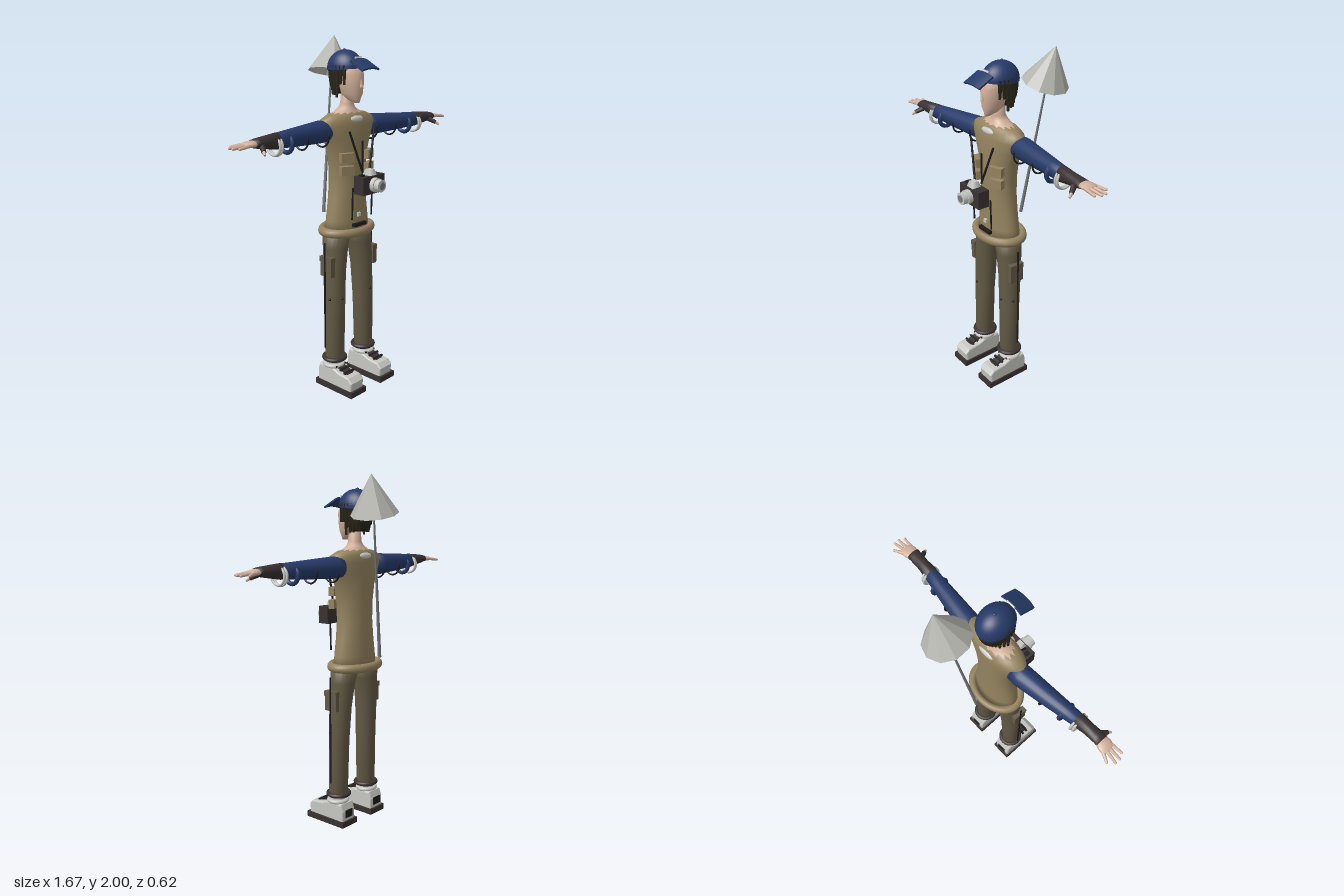
import * as THREE from 'three';

const mat = (name, color) => {
  const m = new THREE.MeshStandardMaterial({ color });
  m.name = name;
  return m;
};

export function createModel() {
  const M = {
    shirt: mat('khaki shirt', 0x94835f), trousers: mat('dark khaki', 0x635a45),
    navy: mat('navy', 0x263a68), skin: mat('skin', 0xd2b09a),
    pale: mat('pale grey', 0xc6c7c2), black: mat('black', 0x1d1b1d),
    brown: mat('dark brown', 0x3a3131), hair: mat('hair', 0x2a2517),
    canopy: mat('canopy grey', 0xb4b5ae), metal: mat('metal grey', 0x77797a),
  };
  M.canopy.side = THREE.DoubleSide;
  const root = new THREE.Group();
  root.name = 'figure';

  const add = (name, geo, material, pos = [0, 0, 0], rot = [0, 0, 0], scale = [1, 1, 1], parent = root) => {
    const m = new THREE.Mesh(geo, material);
    m.name = name;
    m.position.set(...pos);
    m.rotation.set(...rot);
    m.scale.set(...scale);
    parent.add(m);
    return m;
  };
  const box = (name, size, material, pos, rot) => add(name, new THREE.BoxGeometry(...size), material, pos, rot);
  const ball = (name, size, material, pos, rot) => add(name, new THREE.SphereGeometry(1, 16, 10), material, pos, rot, size);
  const UP = new THREE.Vector3(0, 1, 0);
  // Round bar between two points
  const rod = (name, a, b, r0, r1, material, sides = 8) => {
    const A = new THREE.Vector3(...a), B = new THREE.Vector3(...b), d = B.clone().sub(A);
    const m = add(name, new THREE.CylinderGeometry(r1, r0, d.length(), sides), material);
    m.position.copy(A).add(B).multiplyScalar(0.5);
    m.quaternion.setFromUnitVectors(UP, d.normalize());
    return m;
  };
  // Skin over elliptical sections [t, radiusA, radiusB, centreA, centreB]; side = 0 runs up y, +1 / -1 runs out along x
  const loft = (secs, n = 24, side = 0, jagged = false) => {
    const pos = [], idx = [];
    const put = ([t, a, b, ca, cb], c, s) => side
      ? pos.push(side * t, ca + a * c, cb - side * b * s)
      : pos.push(ca + a * c, t, cb + b * s);
    secs.forEach((sec, i) => {
      for (let j = 0; j < n; j++) {
        const q = j / n * Math.PI * 2;
        const cut = jagged && i === secs.length - 1 && j % 2;
        put(cut ? sec.map((v, k) => v * 0.35 + secs[i - 1][k] * 0.65) : sec, Math.cos(q), Math.sin(q));
        if (i) {
          const k = (j + 1) % n, p = (i - 1) * n, u = i * n;
          idx.push(p + j, u + j, p + k, u + j, u + k, p + k);
        }
      }
    });
    const last = (secs.length - 1) * n;
    put(secs[0], 0, 0);
    if (!jagged) put(secs[secs.length - 1], 0, 0);
    for (let j = 0; j < n; j++) {
      const k = (j + 1) % n;
      idx.push(last + n, j, k);
      if (!jagged) idx.push(last + n + 1, last + k, last + j);
    }
    const g = new THREE.BufferGeometry();
    g.setAttribute('position', new THREE.Float32BufferAttribute(pos, 3));
    g.setIndex(idx);
    g.computeVertexNormals();
    return g;
  };

  // Shirt with a ragged neckline over the bare neck and shoulders
  add('shirt', loft([
    [0.92, 0.155, 0.092, 0, 0.05], [1.0, 0.148, 0.088, 0, 0.05], [1.1, 0.13, 0.087, 0, 0.05],
    [1.2, 0.118, 0.087, 0, 0.05], [1.3, 0.121, 0.088, 0, 0.051], [1.4, 0.14, 0.089, 0, 0.051],
    [1.47, 0.17, 0.088, 0, 0.05], [1.53, 0.198, 0.086, 0, 0.048], [1.568, 0.192, 0.08, 0, 0.046],
    [1.59, 0.14, 0.068, 0, 0.045], [1.602, 0.09, 0.056, 0, 0.045]], 28, 0, true), M.shirt);
  add('neck', loft([
    [1.52, 0.18, 0.075, 0, 0.047], [1.564, 0.184, 0.076, 0, 0.046], [1.586, 0.138, 0.066, 0, 0.045],
    [1.6, 0.092, 0.056, 0, 0.045], [1.622, 0.052, 0.046, 0, 0.046], [1.645, 0.036, 0.038, 0, 0.048],
    [1.72, 0.034, 0.036, 0, 0.05]], 28), M.skin);
  add('hem', new THREE.TorusGeometry(1, 0.16, 12, 40).rotateX(Math.PI / 2), M.shirt,
    [0, 0.938, 0.048], [0, 0, 0], [0.16, 0.16, 0.119]);
  ball('frontCollar', [0.052, 0.018, 0.014], M.pale, [0, 1.566, 0.12], [-0.4, 0, 0]);
  ball('backCollar', [0.052, 0.018, 0.014], M.pale, [0, 1.566, -0.027], [0.4, 0, 0]);

  // Head, hair and cap
  add('head', loft([
    [1.652, 0.012, 0.018, 0, 0.12], [1.67, 0.03, 0.045, 0, 0.095], [1.7, 0.05, 0.07, 0, 0.08],
    [1.75, 0.063, 0.085, 0, 0.069], [1.8, 0.068, 0.09, 0, 0.064], [1.86, 0.066, 0.085, 0, 0.05]], 20), M.skin);
  rod('nose', [0, 1.735, 0.154], [0, 1.79, 0.147], 0.011, 0.005, M.skin);
  add('hairShell', loft([
    [1.7, 0.05, 0.045, 0, 0.02], [1.74, 0.068, 0.068, 0, 0.012],
    [1.79, 0.076, 0.085, 0, 0.02], [1.85, 0.076, 0.09, 0, 0.025]], 20), M.hair);
  for (let i = 0; i < 19; i++) {
    const q = -0.55 + i / 18 * (Math.PI + 1.1), c = Math.cos(q), s = Math.sin(q);
    const low = s < -0.1 ? 1.75 : 1.68 + 0.035 * Math.max(0, s) + 0.008 * (i % 2);
    const pinch = 1 - 0.3 * Math.max(0, s);
    rod('hairStrand', [0.077 * c * pinch, low, 0.038 - 0.1 * s * pinch], [0.074 * c, 1.85, 0.038 - 0.092 * s],
      0.007, 0.016, M.hair, 5);
  }
  add('capDome', new THREE.SphereGeometry(1, 28, 12, 0, Math.PI * 2, 0, Math.PI / 2), M.navy,
    [0, 1.832, 0.035], [-0.08, 0, 0], [0.088, 0.099, 0.107]);
  add('capBand', new THREE.CylinderGeometry(1, 1, 0.016, 28), M.navy,
    [0, 1.834, 0.035], [-0.08, 0, 0], [0.088, 1, 0.107]);
  ball('capButton', [0.009, 0.006, 0.009], M.navy, [0, 1.93, 0.027]);
  const brim = new THREE.BoxGeometry(0.134, 0.01, 0.1, 12, 1, 1);
  const bp = brim.attributes.position;
  for (let i = 0; i < bp.count; i++) bp.setY(i, bp.getY(i) - 2.5 * bp.getX(i) ** 2);
  brim.computeVertexNormals();
  add('capBrim', brim, M.navy, [0, 1.862, 0.18], [0.48, 0, 0]);
  box('capPatch', [0.05, 0.014, 0.008], M.pale, [0, 1.889, 0.13], [-0.5, 0, 0]);

  for (const s of [1, -1]) {
    // Arm, glove and hand
    add('sleeve', loft([
      [0.15, 0.058, 0.058, 1.508, 0.035], [0.2, 0.061, 0.061, 1.508, 0.037], [0.35, 0.053, 0.052, 1.507, 0.055],
      [0.48, 0.045, 0.043, 1.507, 0.071], [0.56, 0.04, 0.037, 1.507, 0.08]], 20, s), M.navy);
    add('glove', loft([
      [0.545, 0.043, 0.04, 1.507, 0.08], [0.62, 0.034, 0.034, 1.51, 0.085],
      [0.68, 0.026, 0.036, 1.512, 0.088], [0.705, 0.021, 0.037, 1.513, 0.088]], 16, s), M.brown);
    add('palm', loft([
      [0.69, 0.018, 0.033, 1.513, 0.087], [0.73, 0.016, 0.041, 1.512, 0.083],
      [0.76, 0.011, 0.036, 1.51, 0.08]], 14, s), M.skin);
    [[0.795, 0.03], [0.825, 0.06], [0.826, 0.088], [0.81, 0.118]].forEach(([x, z], i) => {
      rod('finger', [s * 0.745, 1.51, 0.053 + i * 0.019], [s * x, 1.503, z], 0.01, 0.007, M.skin);
      ball('fingertip', [0.007, 0.007, 0.007], M.skin, [s * x, 1.503, z]);
    });
    rod('gloveThumb', [s * 0.66, 1.505, 0.1], [s * 0.69, 1.478, 0.15], 0.017, 0.012, M.brown);
    rod('thumb', [s * 0.688, 1.48, 0.146], [s * 0.7, 1.465, 0.168], 0.01, 0.006, M.skin);
    // Loose rings hanging on the sleeve
    [[0.197, 0.056, 0.005, M.black, 0.045], [0.355, 0.051, 0.005, M.black, 0.055], [0.475, 0.046, 0.012, M.navy, 0.071],
      [0.55, 0.05, 0.007, M.pale, 0.077], [0.565, 0.048, 0.007, M.pale, 0.079]].forEach(([x, r, t, m, z]) =>
      add('armRing', new THREE.TorusGeometry(r, t, 8, 28).rotateY(Math.PI / 2), m, [s * x, 1.484, z]));

    // Trouser leg with pocket, side rod and cuffs
    add('trouserLeg', loft([
      [0.17, 0.055, 0.056, s * 0.125, 0.072], [0.5, 0.062, 0.058, s * 0.12, 0.068],
      [0.7, 0.064, 0.065, s * 0.114, 0.061], [0.85, 0.071, 0.073, s * 0.1, 0.055],
      [0.94, 0.085, 0.078, s * 0.084, 0.052]], 24), M.trousers);
    box('thighPocket', [0.03, 0.115, 0.085], M.trousers, [s * 0.178, 0.75, 0.068]);
    box('pocketFlap', [0.036, 0.03, 0.09], M.trousers, [s * 0.178, 0.792, 0.068]);
    rod('sideRod', [s * 0.198, 0.26, 0.065], [s * 0.196, 0.89, 0.065], 0.005, 0.005, M.black, 6);
    ball('kneeStud', [0.008, 0.008, 0.008], M.black, [s * 0.178, 0.555, 0.085]);
    ball('kneeStud', [0.008, 0.008, 0.008], M.black, [s * 0.12, 0.555, 0.126]);
    add('cuff', new THREE.TorusGeometry(0.061, 0.013, 10, 28).rotateX(Math.PI / 2), M.brown, [s * 0.124, 0.18, 0.07]);
    add('sock', new THREE.CylinderGeometry(0.05, 0.05, 0.08, 20), M.pale, [s * 0.126, 0.145, 0.07]);
    add('ankleRing', new THREE.TorusGeometry(0.053, 0.013, 10, 28).rotateX(Math.PI / 2), M.pale, [s * 0.13, 0.142, 0.07]);

    // Shoe: side profile extruded across the foot
    const shoe = new THREE.Shape([[0, 0.035], [0.24, 0.035], [0.245, 0.08], [0.225, 0.1], [0.15, 0.108],
      [0.11, 0.125], [0.01, 0.125], [-0.002, 0.09]].map(p => new THREE.Vector2(...p)));
    const upper = new THREE.ExtrudeGeometry(shoe, { depth: 0.085, bevelSize: 0.01, bevelThickness: 0.012, bevelSegments: 3 });
    add('shoe', upper.rotateY(-Math.PI / 2).translate(0.0425, 0, 0), M.pale, [s * 0.128, 0, 0]);
    box('sole', [0.126, 0.034, 0.284], M.brown, [s * 0.128, 0.017, 0.122]);
    box('heelPatch', [0.06, 0.045, 0.009], M.black, [s * 0.128, 0.075, -0.011]);
    box('tongue', [0.05, 0.012, 0.1], M.brown, [s * 0.128, 0.129, 0.15], [0.3, 0, 0]);
    for (let i = 0; i < 3; i++)
      box('lace', [0.08, 0.008, 0.012], M.black, [s * 0.128, 0.144 - i * 0.011, 0.122 + i * 0.033], [0.3, 0, 0]);

    // Chest pouches and straps
    for (const y of [1.365, 1.293])
      box('chestPouch', [0.078, 0.05, 0.034], M.shirt, [s * 0.088, y, 0.13], [0, s * 0.35, 0]);
    rod('cameraStrap', [s * 0.1, 1.51, 0.16], [s * 0.03, 1.29, 0.19], 0.006, 0.006, M.black);
    rod('frontCord', [s * 0.08, 1.02, 0.163], [s * 0.08, 1.2, 0.168], 0.005, 0.005, M.black);
  }

  // Front fastening
  rod('centreCord', [0, 1.27, 0.165], [0, 1.45, 0.165], 0.005, 0.005, M.black);
  box('belt', [0.1, 0.018, 0.02], M.black, [0, 0.977, 0.146]);
  box('frontButton', [0.022, 0.022, 0.012], M.pale, [0, 1.033, 0.143]);

  // Camera at the waist
  box('cameraBody', [0.172, 0.1, 0.07], M.brown, [0, 1.22, 0.216]);
  add('cameraTop', new THREE.CylinderGeometry(0.025, 0.04, 0.034, 4, 1).rotateY(Math.PI / 4), M.pale, [0, 1.285, 0.218]);
  box('shutterButton', [0.024, 0.01, 0.024], M.black, [-0.06, 1.274, 0.216]);
  const disc = (name, r, len, z, m) =>
    add(name, new THREE.CylinderGeometry(r, r, len, 20).rotateX(Math.PI / 2), m, [0, 1.22, z]);
  disc('lensBase', 0.04, 0.03, 0.262, M.pale);
  disc('lensBarrel', 0.034, 0.05, 0.282, M.pale);
  disc('lensGlass', 0.02, 0.006, 0.308, M.metal);

  // Tilted umbrella carried at the back
  const apex = new THREE.Vector3(0.16, 2.0, -0.2), base = new THREE.Vector3(0.105, 1.795, -0.18);
  const axis = apex.clone().sub(base);
  const cone = new THREE.ConeGeometry(0.13, axis.length(), 10, 1, true).toNonIndexed();
  cone.computeVertexNormals();
  const canopy = add('umbrellaCanopy', cone, M.canopy);
  canopy.position.copy(base).add(apex).multiplyScalar(0.5);
  canopy.quaternion.setFromUnitVectors(UP, axis.normalize());
  rod('umbrellaPole', [-0.015, 1.0, -0.122], [0.14, 1.95, -0.194], 0.01, 0.004, M.metal);

  return root;
}
